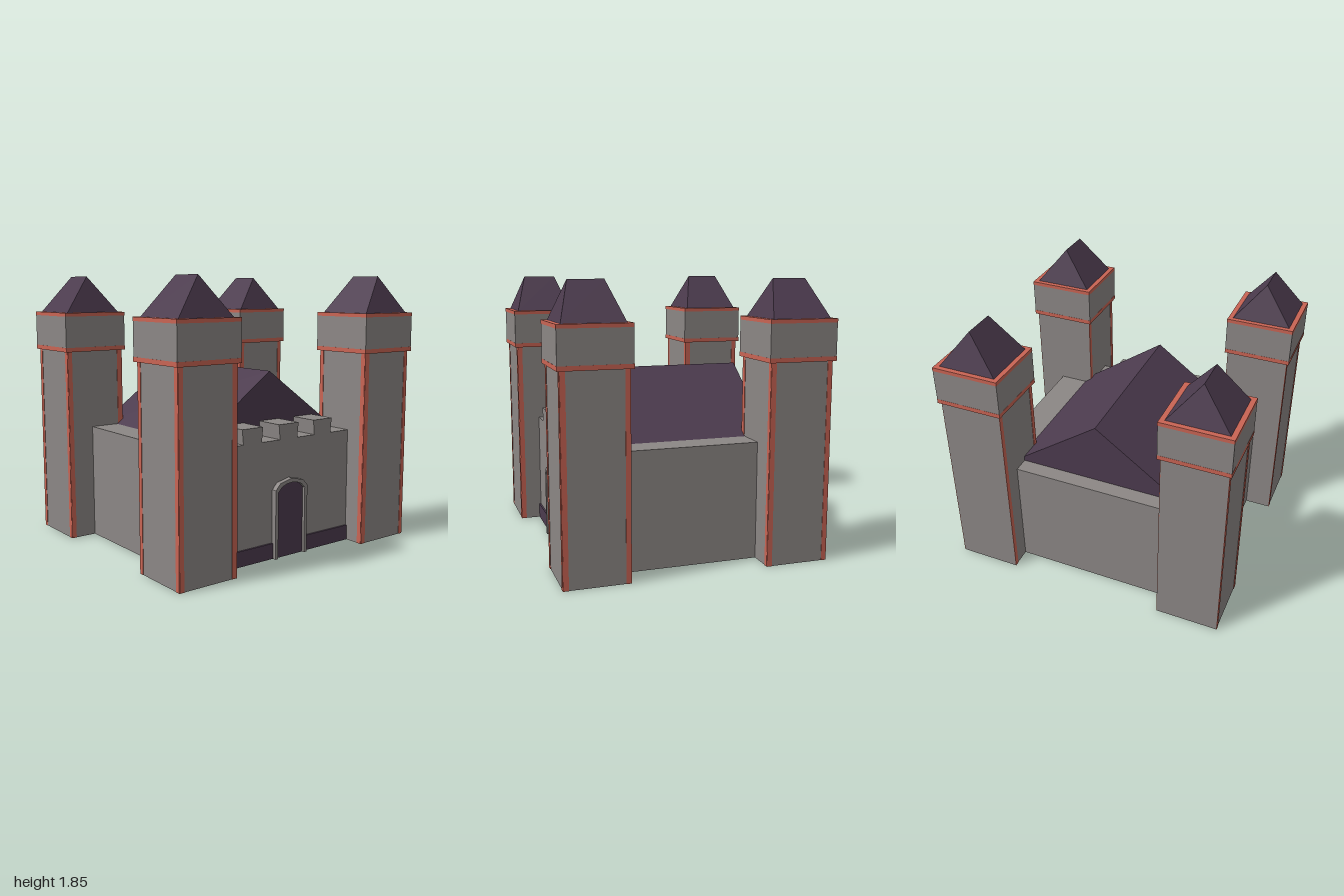
import * as THREE from 'three';

const mat = (name, color) => {
  const m = new THREE.MeshStandardMaterial({ color, flatShading: true, side: THREE.DoubleSide });
  m.name = name;
  return m;
};

export function createModel() {
  const stone = mat('stone', 0x8c8785);
  const slate = mat('slate', 0x4c3b4e);
  const brick = mat('brick', 0xc96454);
  const castle = new THREE.Group();
  castle.name = 'castle';

  const add = (parent, name, geo, material, x = 0, y = 0, z = 0) => {
    const m = new THREE.Mesh(geo, material);
    m.name = name;
    m.position.set(x, y, z);
    parent.add(m);
    return m;
  };

  // Box standing on y = 0, without its floor and optionally without its top
  const shell = (w, h, d, top = true) => {
    const g = new THREE.BoxGeometry(w, h, d).translate(0, h / 2, 0);
    const i = Array.from(g.index.array);
    i.splice(top ? 18 : 12, top ? 6 : 12);
    g.setIndex(i);
    g.clearGroups();
    return g;
  };
  const block = (w, h, d) => new THREE.BoxGeometry(w, h, d).translate(0, h / 2, 0);

  // Ridged roof running along z; ridge is half the length of the top edge
  const roofGeo = (hx, hz, ridge, h) => {
    const g = new THREE.BufferGeometry();
    g.setAttribute('position', new THREE.Float32BufferAttribute([
      -hx, 0, hz, hx, 0, hz, hx, 0, -hz, -hx, 0, -hz, 0, h, ridge, 0, h, -ridge], 3));
    g.setIndex([0, 1, 4, 2, 3, 5, 1, 2, 5, 1, 5, 4, 3, 0, 4, 3, 4, 5]);
    const flat = g.toNonIndexed();
    flat.computeVertexNormals();
    return flat;
  };

  const outline = pts => new THREE.Shape(pts.map(p => new THREE.Vector2(...p)));
  const slab = (shape, depth) => new THREE.ExtrudeGeometry(shape, { depth, bevelEnabled: false });

  // Curtain walls, with a walkway ring around the hall roof
  const wallTop = 0.79;
  add(castle, 'walls', shell(1.6, wallTop, 1.476, false), stone);
  const ring = outline([[-0.8, -0.738], [0.8, -0.738], [0.8, 0.738], [-0.8, 0.738]]);
  ring.holes.push(new THREE.Path(
    [[-0.6, -0.54], [-0.6, 0.63], [0.6, 0.63], [0.6, -0.54]].map(p => new THREE.Vector2(...p))));
  add(castle, 'walkway', new THREE.ShapeGeometry(ring).rotateX(-Math.PI / 2), stone, 0, wallTop);
  add(castle, 'hallRoof', roofGeo(0.6, 0.585, 0.585, 0.43), slate, 0, wallTop, -0.045);

  // Battlements above the gate, slightly wider at the top
  const merlon = slab(outline([[-0.076, 0], [0.076, 0], [0.086, 0.1], [-0.086, 0.1]]), 0.198);
  for (const x of [-0.308, 0, 0.308]) add(castle, 'merlon', merlon, stone, x, wallTop, 0.54);

  // Plinth strips either side of the gate
  for (const s of [-1, 1]) add(castle, 'plinth', block(0.42, 0.105, 0.02), slate, s * 0.345, 0, 0.74);

  // Gate with a low arched surround
  const inner = [[-0.116, 0], [-0.116, 0.45], [-0.085, 0.482], [-0.045, 0.497], [0, 0.502],
    [0.045, 0.497], [0.085, 0.482], [0.116, 0.45], [0.116, 0]];
  const outer = [[0.14, 0], [0.14, 0.465], [0.1, 0.507], [0, 0.53],
    [-0.1, 0.507], [-0.14, 0.465], [-0.14, 0]];
  add(castle, 'gateArch', slab(outline([...inner, ...outer]), 0.039), stone, 0, 0, 0.736);
  add(castle, 'gateDoor', slab(outline(inner), 0.009), slate, 0, 0, 0.746);

  // Corner towers
  const half = 0.214, neck = 1.33;
  for (const sx of [-1, 1]) for (const sz of [-1, 1]) {
    const t = new THREE.Group();
    t.name = 'tower';
    t.position.set(sx * 0.767, 0, sz * 0.672);
    castle.add(t);
    add(t, 'shaft', shell(half * 2, neck, half * 2), stone);
    // Corner strips on the front and both side faces
    for (const s of [-1, 1]) {
      const w = s === sx ? 0.032 : 0.038;
      add(t, 'frontStrip', block(w, neck, 0.004), brick, s * (half - w / 2), 0, half + 0.001);
      for (const e of [-1, 1])
        add(t, 'sideStrip', block(0.004, neck, 0.034), brick, s * (half + 0.001), 0, e * (half - 0.017));
    }
    // Overhanging head between two bands
    add(t, 'lowerBand', block(0.466, 0.03, 0.466), brick, 0, neck);
    add(t, 'head', block(0.464, 0.215, 0.464), stone, 0, neck + 0.03);
    add(t, 'upperBand', block(0.466, 0.025, 0.466), brick, 0, neck + 0.245);
    add(t, 'towerRoof', roofGeo(0.2, 0.2, 0.115, 0.25), slate, 0, neck + 0.27);
  }
  return castle;
}
